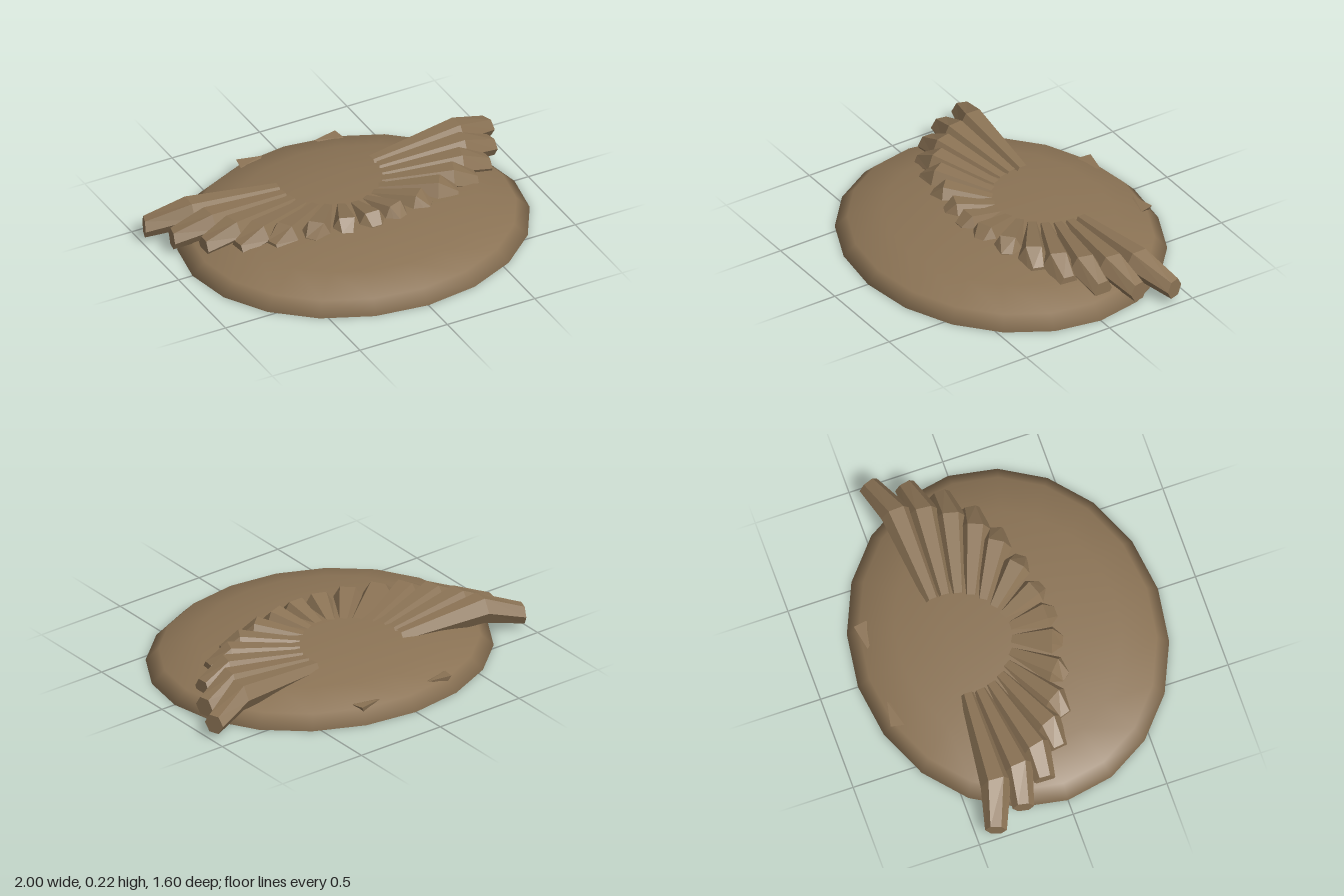
import * as THREE from 'three';
import { ConvexGeometry } from 'three/addons/geometries/ConvexGeometry.js';

const SIDES = 6;
const UP = new THREE.Vector3(0, 1, 0);

// Hexagonal loft through sections { c: centre, d: horizontal heading, r: radius }, with a flat end cap
function loft(sections) {
  const rings = sections.map(({ c, d, r }) => {
    const side = new THREE.Vector3().crossVectors(UP, d).normalize();
    return Array.from({ length: SIDES }, (_, j) => {
      const a = (j / SIDES) * Math.PI * 2;
      return c.clone().addScaledVector(side, r * Math.cos(a)).addScaledVector(UP, r * Math.sin(a));
    });
  });
  const tris = [];
  const last = sections.length - 1;
  for (let j = 0; j < SIDES; j++) {
    const n = (j + 1) % SIDES;
    for (let k = 0; k < last; k++) {
      const a = rings[k], b = rings[k + 1];
      tris.push(a[j], a[n], b[n], a[j], b[n], b[j]);
    }
    tris.push(sections[last].c, rings[last][j], rings[last][n]);
  }
  const g = new THREE.BufferGeometry().setFromPoints(tris);
  g.computeVertexNormals();
  return g;
}

export function createModel() {
  const model = new THREE.Group();
  const tan = new THREE.MeshStandardMaterial({ color: 0x8b7355 });
  tan.name = 'tan';

  const add = (geometry, name, parent = model) => {
    const mesh = new THREE.Mesh(geometry, tan);
    mesh.name = name;
    parent.add(mesh);
    return mesh;
  };

  // Low oval dome and its flat underside
  const dome = new THREE.SphereGeometry(1, 20, 4, 0, Math.PI * 2, 0, Math.PI / 2);
  dome.scale(0.92, 0.17, 0.8);
  add(dome, 'domeBody');
  const base = new THREE.CircleGeometry(1, 20);
  base.rotateX(Math.PI / 2);
  base.scale(0.92, 1, 0.8);
  add(base, 'underside');

  // Fan of drooping ribs, tip positions (x, z) from the front rib outwards
  const tips = [
    [0, 0.255], [0.16, 0.238], [0.345, 0.19], [0.53, 0.12],
    [0.68, 0.035], [0.81, -0.085], [0.912, -0.235], [0.98, -0.405],
  ];
  const ribs = new THREE.Group();
  ribs.name = 'ribFan';
  model.add(ribs);
  for (let i = -7; i <= 7; i++) {
    const s = Math.abs(i) / 7;
    const angle = THREE.MathUtils.degToRad(14 * i);
    const [tx, tz] = tips[Math.abs(i)];
    const root = new THREE.Vector3(0.27 * Math.sin(angle), 0.132, -0.27 + 0.27 * Math.cos(angle));
    const tip = new THREE.Vector3(Math.sign(i) * tx, THREE.MathUtils.lerp(0.115, 0.08, s), tz);
    const knee = root.clone().lerp(tip, THREE.MathUtils.lerp(0.78, 0.7, s));
    knee.y = 0.146;
    knee.z += 0.045 * s;
    const heading = (a, b) => b.clone().sub(a).setY(0).normalize();
    const inner = heading(root, knee);
    add(loft([
      { c: root, d: inner, r: 0.04 },
      { c: knee, d: inner, r: 0.08 },
      { c: tip, d: heading(knee, tip), r: 0.055 },
    ]), 'rib', ribs);
  }

  // Pair of small pointed ledges at the back
  for (const m of [1, -1]) {
    const points = [
      [0.295, 0.078, -0.655], [0.283, 0.083, -0.724], [0.15, 0.08, -0.697],
      [0.265, 0.048, -0.712], [0.22, 0.06, -0.62],
    ].map(([x, y, z]) => new THREE.Vector3(m * x, y, z));
    add(new ConvexGeometry(points), m > 0 ? 'leftLedge' : 'rightLedge');
  }
  return model;
}
